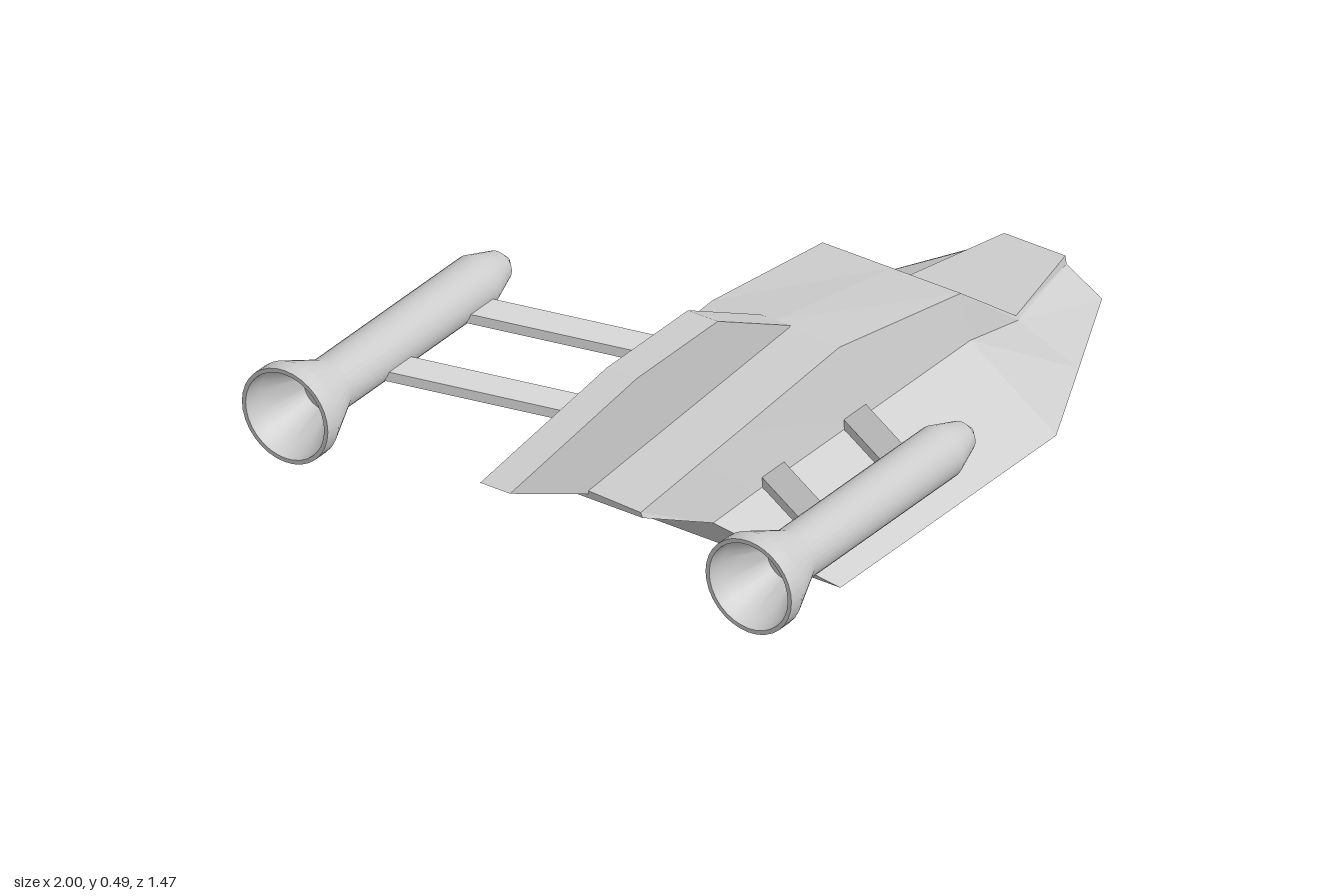
import * as THREE from 'three';
import { toCreasedNormals } from 'three/addons/utils/BufferGeometryUtils.js';
import { ConvexGeometry } from 'three/addons/geometries/ConvexGeometry.js';

const flat = new THREE.MeshStandardMaterial({ color: 0xcccccc, flatShading: true });
const smooth = new THREE.MeshStandardMaterial({ color: 0xcccccc, side: THREE.DoubleSide });

function addMesh(parent, name, geometry, material = flat) {
  const mesh = new THREE.Mesh(geometry, material);
  mesh.name = name;
  parent.add(mesh);
  return mesh;
}

// Closed skin through mirrored cross-sections running from tail to nose.
// Each station: x, ridge height, then [z, y] of roof edge, skirt top and skirt foot.
function hullGeometry(stations) {
  const rings = stations.map(([x, ridge, ...side]) => {
    const foot = side[side.length - 1][1];
    return [
      [x, ridge, 0],
      ...side.map(([z, y]) => [x, y, z]),
      [x, foot, 0],
      ...side.slice().reverse().map(([z, y]) => [x, y, -z]),
    ];
  });
  const positions = [];
  const tri = (a, b, c) => positions.push(...a, ...b, ...c);
  const n = rings[0].length;
  for (let i = 0; i < rings.length - 1; i++) {
    for (let j = 0; j < n; j++) {
      const k = (j + 1) % n;
      const a = rings[i][j], b = rings[i + 1][j], c = rings[i + 1][k], d = rings[i][k];
      tri(a, d, c);
      tri(a, c, b);
    }
  }
  const tail = rings[0], nose = rings[rings.length - 1];
  for (let j = 1; j < n - 1; j++) {
    tri(tail[0], tail[j + 1], tail[j]);
    tri(nose[0], nose[j], nose[j + 1]);
  }
  const geometry = new THREE.BufferGeometry();
  geometry.setAttribute('position', new THREE.Float32BufferAttribute(positions, 3));
  geometry.computeVertexNormals();
  return geometry;
}

// Upright fin along the centre line
function finGeometry() {
  const outline = [[-1, 0.42], [-0.71, 0.28], [0, 0.33], [0.04, 0.345], [-0.23, 0.485], [-0.53, 0.485]];
  const shape = new THREE.Shape(outline.map(([x, y]) => new THREE.Vector2(x, y)));
  return new THREE.ExtrudeGeometry(shape, { depth: 0.08, bevelEnabled: false }).translate(0, 0, -0.04);
}

// Rocket body with a hollow flared nozzle, lying along x
function engineGeometry() {
  const profile = [
    [0, -0.78], [0.05, -0.78], [0.1, -0.88], [0.105, -0.92], [0.115, -0.92], [0.115, -0.88],
    [0.063, -0.76], [0.063, -0.21], [0.037, -0.13], [0.012, -0.102], [0, -0.1],
  ].map(([r, x]) => new THREE.Vector2(r, x));
  const geometry = new THREE.LatheGeometry(profile, 32).rotateZ(-Math.PI / 2);
  return toCreasedNormals(geometry, Math.PI / 7);
}

// Flat slanting bar from the hull side out to an engine
function strutGeometry(x, side) {
  const corners = [];
  for (const [dx, y, z] of [[0, 0.168, 0.205], [-0.34, 0.332, 0.575]]) {
    for (const w of [0, 0.082]) {
      for (const h of [-0.012, 0.012]) {
        corners.push(new THREE.Vector3(x + dx + w, y + h, side * z));
      }
    }
  }
  return new ConvexGeometry(corners);
}

export function createModel() {
  const model = new THREE.Group();
  model.name = 'spacecraft';

  addMesh(model, 'hull', hullGeometry([
    [-0.71, 0.29, [0.18, 0.282], [0.185, 0.27], [0.185, 0.27]],
    [-0.48, 0.307, [0.177, 0.298], [0.208, 0.155], [0.208, 0.155]],
    [-0.33, 0.318, [0.175, 0.308], [0.21, 0.16], [0.44, 0]],
    [0.04, 0.345, [0.17, 0.335], [0.21, 0.16], [0.44, 0]],
    [0.47, 0.27, [0.185, 0.27], [0.21, 0.16], [0.44, 0]],
    [0.73, 0.075, [0.145, 0.075], [0.15, 0.065], [0.313, 0]],
    [1, 0.075, [0.082, 0.075], [0.085, 0.055], [0.18, 0]],
  ]));

  addMesh(model, 'fin', finGeometry());

  for (const side of [1, -1]) {
    const pod = new THREE.Group();
    pod.name = side > 0 ? 'leftEnginePod' : 'rightEnginePod';
    model.add(pod);
    addMesh(pod, 'engine', engineGeometry(), smooth).position.set(0, 0.348, side * 0.62);
    addMesh(pod, 'rearStrut', strutGeometry(-0.295, side));
    addMesh(pod, 'frontStrut', strutGeometry(0.008, side));
  }
  return model;
}
